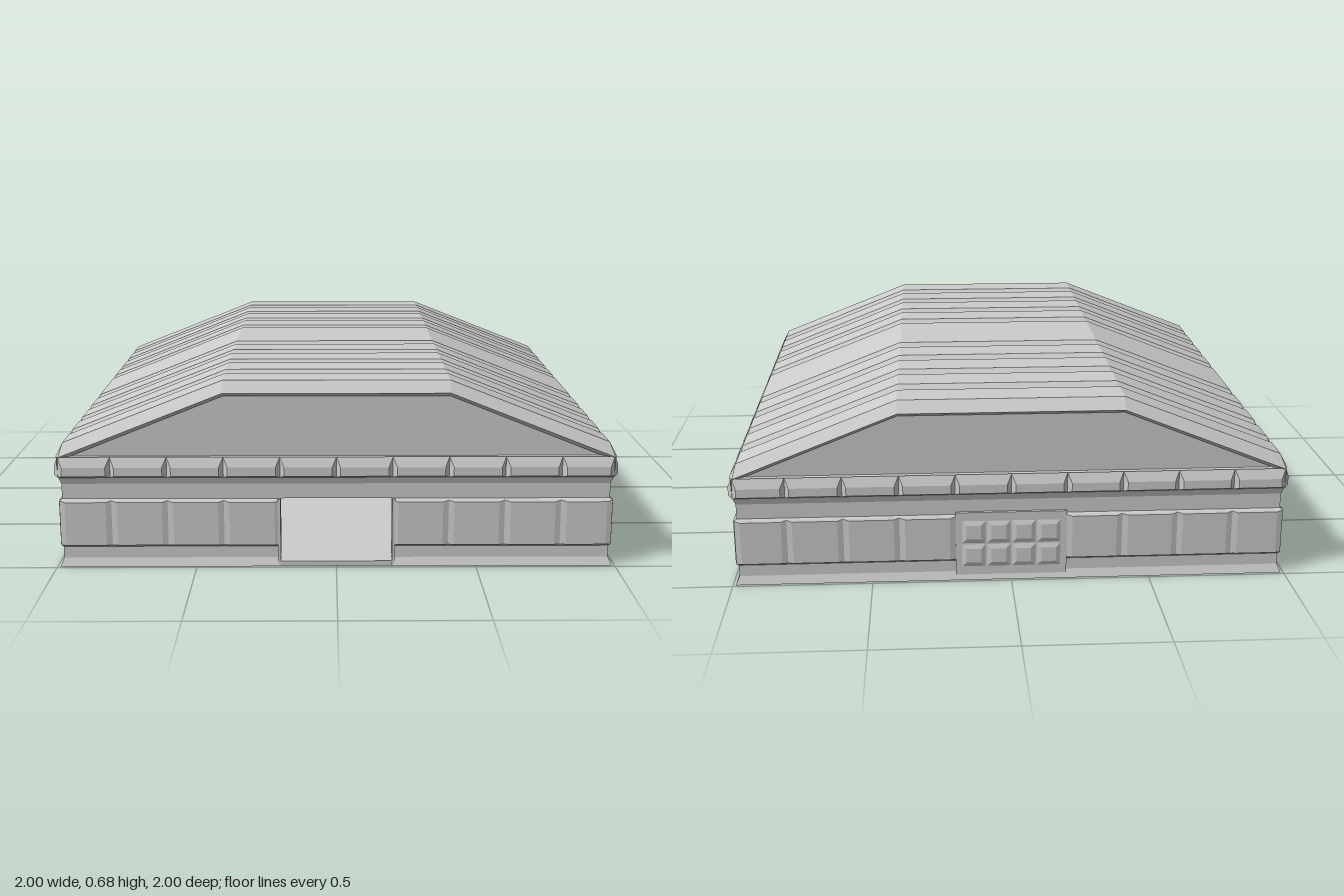
import * as THREE from 'three';

const material = new THREE.MeshStandardMaterial({ color: 0xcccccc, flatShading: true, side: THREE.DoubleSide });

function add(parent, name, geometry, x = 0, y = 0, z = 0) {
  const mesh = new THREE.Mesh(geometry, material);
  mesh.name = name;
  mesh.position.set(x, y, z);
  parent.add(mesh);
  return mesh;
}

// Skin through a row of cross-sections, each a list of [x, y, z]
function loft(sections) {
  const pos = [];
  for (let i = 0; i < sections.length - 1; i++) {
    for (let j = 0; j < sections[i].length - 1; j++) {
      const a = sections[i][j], b = sections[i][j + 1];
      const c = sections[i + 1][j + 1], d = sections[i + 1][j];
      pos.push(...a, ...d, ...c, ...a, ...c, ...b);
    }
  }
  const g = new THREE.BufferGeometry();
  g.setAttribute('position', new THREE.Float32BufferAttribute(pos, 3));
  g.computeVertexNormals();
  return g;
}

// Raised plate standing on z = 0, its front face inset on each edge
function plate(w, h, d, side, top, bottom) {
  const g = new THREE.BoxGeometry(w, h, d).translate(0, 0, d / 2);
  const p = g.attributes.position;
  for (let i = 0; i < p.count; i++) {
    if (p.getZ(i) < d / 2) continue;
    p.setX(i, p.getX(i) - Math.sign(p.getX(i)) * side);
    p.setY(i, p.getY(i) + (p.getY(i) > 0 ? -top : bottom));
  }
  g.computeVertexNormals();
  return g;
}

// Wall run along x; ends beyond the corner are mitred
function wallRun(profile, x0, x1) {
  const closed = [...profile, profile[0]];
  const at = (x) => closed.map(([d, y]) => [Math.abs(x) >= 1 ? Math.sign(x) * d : x, y, d]);
  return loft([at(x0), at(x1)]);
}

const lowerWall = [[0.92, 0], [0.99, 0], [0.977, 0.03], [0.977, 0.072], [0.984, 0.08], [0.984, 0.245], [0.975, 0.25], [0.92, 0.25]];
const upperWall = [[0.92, 0.25], [0.975, 0.25], [0.975, 0.305], [0.985, 0.335], [0.985, 0.4], [0.92, 0.4]];

function buildSide(isFront, hasDoor) {
  const side = new THREE.Group();
  side.name = 'wallSide';
  if (isFront) {
    add(side, 'lowerWall', wallRun(lowerWall, -1, -0.2));
    add(side, 'lowerWall', wallRun(lowerWall, 0.2, 1));
    for (const s of [-1, 1]) add(side, 'doorJamb', new THREE.BoxGeometry(0.01, 0.25, 0.067), s * 0.204, 0.125, 0.953);
  } else {
    add(side, 'lowerWall', wallRun(lowerWall, -1, 1));
  }
  add(side, 'upperWall', wallRun(upperWall, -1, 1));
  // Ten bays: wall panel below, cornice block above
  for (let i = 0; i < 10; i++) {
    const x0 = Math.max(-0.984, -1 + i * 0.2), x1 = Math.min(0.984, -0.8 + i * 0.2);
    const x = (x0 + x1) / 2, w = x1 - x0;
    add(side, 'corniceBlock', plate(w, 0.075, 0.015, 0.015, 0.035, 0.008), x, 0.3675, 0.985);
    if (!(hasDoor && (i === 4 || i === 5))) {
      add(side, 'wallPanel', plate(w, 0.165, 0.005, 0.02, 0.006, 0), x, 0.1625, 0.984);
    }
  }
  return side;
}

// Closed door with raised squares on both faces
function buildDoor() {
  const door = new THREE.Group();
  door.name = 'backDoor';
  add(door, 'doorLeaf', new THREE.BoxGeometry(0.4, 0.24, 0.075), 0, 0.14, 0.9485);
  for (let c = 0; c < 4; c++) {
    for (let r = 0; r < 2; r++) {
      const x = (c - 1.5) * 0.09, y = 0.095 + r * 0.09;
      add(door, 'doorSquare', plate(0.085, 0.085, 0.006, 0.016, 0.016, 0.016), x, y, 0.986);
      add(door, 'doorSquare', plate(0.085, 0.085, 0.006, 0.016, 0.016, 0.016), x, y, 0.911).rotation.y = Math.PI;
    }
  }
  return door;
}

// Roof cross-sections, right half from eave to ridge edge
const groove = [[0.985, 0.36], [0.985, 0.4], [0.98, 0.405], [0.4, 0.635]];
const crest = [[0.985, 0.36], [0.996, 0.4], [0.97, 0.45], [0.4, 0.675]];
const soffit = [[0.97, 0.36], [0.97, 0.39], [0.95, 0.4], [0.4, 0.62]];

function arch(half, z) {
  return [...half.map(([x, y]) => [-x, y, z]), ...half.map(([x, y]) => [x, y, z]).reverse()];
}

function buildRoof() {
  const roof = new THREE.Group();
  roof.name = 'roof';
  const edges = [-0.99, -0.795, -0.597, -0.398, -0.2, 0.2, 0.398, 0.597, 0.795, 0.99];
  for (let i = 0; i < edges.length - 1; i++) {
    const a = edges[i], b = edges[i + 1], bevel = 0.036;
    const sections = [arch(groove, a), arch(crest, a + bevel), arch(crest, b - bevel), arch(groove, b)];
    // Outer ribs turn under to meet the gables
    if (i === 0) sections.unshift(arch(soffit, a + 0.025));
    if (i === edges.length - 2) sections.push(arch(soffit, b - 0.025));
    add(roof, 'roofRib', loft(sections));
  }
  // Gable wall filling both ends
  const shape = new THREE.Shape();
  shape.moveTo(-0.96, 0.395).lineTo(0.96, 0.395).lineTo(0.95, 0.402).lineTo(0.4, 0.622);
  shape.lineTo(-0.4, 0.622).lineTo(-0.95, 0.402);
  const gable = new THREE.ExtrudeGeometry(shape, { depth: 1.92, bevelEnabled: false });
  add(roof, 'gables', gable, 0, 0, -0.96);
  add(roof, 'ceilingSlab', new THREE.BoxGeometry(1.968, 0.06, 1.968), 0, 0.373, 0);
  return roof;
}

// Floor with cut corners and a tongue through the open doorway
function buildFloor() {
  const f = 0.92, c = 0.15, s = new THREE.Shape();
  s.moveTo(-f + c, f).lineTo(-f, f - c).lineTo(-f, -f + c).lineTo(-f + c, -f);
  s.lineTo(-0.2, -f).lineTo(-0.2, -0.985).lineTo(0.2, -0.985).lineTo(0.2, -f);
  s.lineTo(f - c, -f).lineTo(f, -f + c).lineTo(f, f - c).lineTo(f - c, f);
  return new THREE.ExtrudeGeometry(s, { depth: 0.018, bevelEnabled: false }).rotateX(-Math.PI / 2);
}

export function createModel() {
  const model = new THREE.Group();
  model.name = 'hangar';
  for (let k = 0; k < 4; k++) {
    const side = buildSide(k === 0, k % 2 === 0);
    side.rotation.y = k * Math.PI / 2;
    model.add(side);
  }
  const door = buildDoor();
  door.rotation.y = Math.PI;
  model.add(door);
  add(model, 'floor', buildFloor());
  model.add(buildRoof());
  return model;
}
